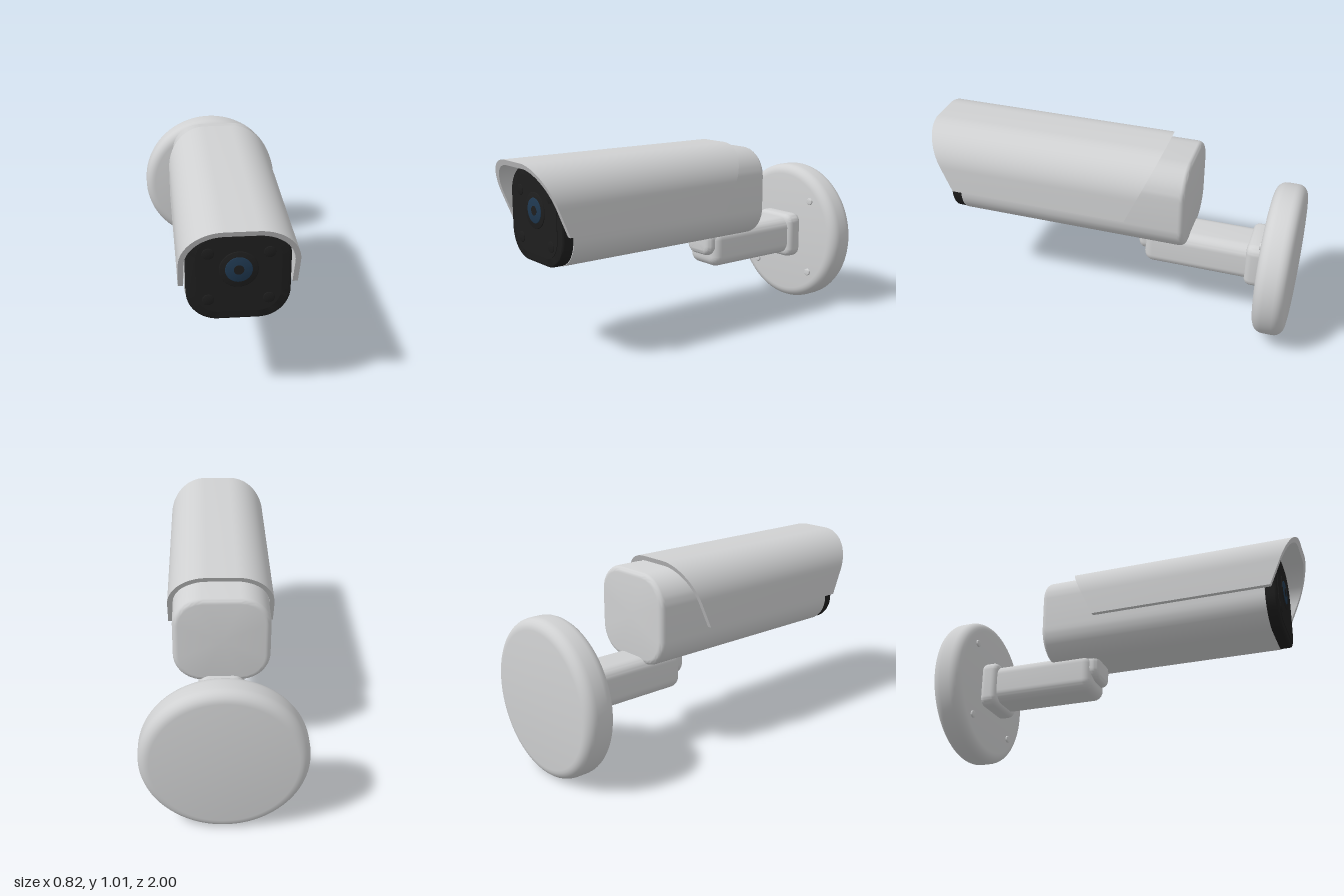
import * as THREE from 'three';
import { toCreasedNormals } from 'three/addons/utils/BufferGeometryUtils.js';

const mat = (name, color, side = THREE.FrontSide) => {
  const m = new THREE.MeshStandardMaterial({ color, side });
  m.name = name;
  return m;
};

// Counter-clockwise outline of a rounded rectangle centred on the origin
function roundedRect(w, h, r, n = 12) {
  const pts = [];
  const corners = [[1, 1], [-1, 1], [-1, -1], [1, -1]];
  corners.forEach(([sx, sy], c) => {
    for (let i = 0; i <= n; i++) {
      const a = (c + i / n) * Math.PI / 2;
      pts.push([sx * (w / 2 - r) + r * Math.cos(a), sy * (h / 2 - r) + r * Math.sin(a)]);
    }
  });
  return pts;
}

// [inset, z] steps from back to front with rounded rims
function rimProfile(z0, z1, rBack, rFront, n = 6) {
  const steps = [];
  const q = Math.PI / 2;
  if (rBack) for (let i = 0; i <= n; i++)
    steps.push([rBack * (1 - Math.sin(q * i / n)), z0 + rBack * (1 - Math.cos(q * i / n))]);
  else steps.push([0, z0]);
  if (rFront) for (let i = 0; i <= n; i++)
    steps.push([rFront * (1 - Math.cos(q * i / n)), z1 - rFront * (1 - Math.sin(q * i / n))]);
  else steps.push([0, z1]);
  return steps;
}

// Rounded block along z, lofted through inset outlines and capped at both ends
function block(w, h, r, z0, z1, rBack, rFront) {
  const pos = [], idx = [];
  const steps = rimProfile(z0, z1, rBack, rFront);
  let count = 0;
  steps.forEach(([inset, z]) => {
    const ring = roundedRect(w - 2 * inset, h - 2 * inset, r - inset);
    count = ring.length;
    ring.forEach(([x, y]) => pos.push(x, y, z));
  });
  const back = steps.length * count, front = back + 1, last = (steps.length - 1) * count;
  pos.push(0, 0, z0, 0, 0, z1);
  for (let i = 0; i < count; i++) {
    const j = (i + 1) % count;
    for (let s = 0; s < steps.length - 1; s++) {
      const a = s * count, b = a + count;
      idx.push(a + i, a + j, b + j, a + i, b + j, b + i);
    }
    idx.push(back, j, i, front, last + i, last + j);
  }
  const g = new THREE.BufferGeometry();
  g.setAttribute('position', new THREE.Float32BufferAttribute(pos, 3));
  g.setIndex(idx);
  return toCreasedNormals(g, 0.6);
}

// Round part along z with rounded rims
function disc(r, z0, z1, rBack, rFront, seg = 32) {
  const pts = rimProfile(z0, z1, rBack, rFront).map(([i, z]) => new THREE.Vector2(r - i, z));
  pts.unshift(new THREE.Vector2(0, z0));
  pts.push(new THREE.Vector2(0, z1));
  return toCreasedNormals(new THREE.LatheGeometry(pts, seg).rotateX(Math.PI / 2), 0.6);
}

// Arched hood with slanted front and back edges
function hood() {
  const arch = (half, top, r, reverse) => {
    const pts = [[half, 0.665]];
    for (let i = 0; i <= 32; i++) {
      const a = Math.PI * i / 32, c = Math.cos(a);
      if (i === 16) pts.push([half - r, top], [r - half, top]);
      else pts.push([(i < 16 ? 1 : -1) * (half - r) + r * c, top - r + r * Math.sin(a)]);
    }
    pts.push([-half, 0.665]);
    return reverse ? pts.reverse() : pts;
  };
  const outline = [...arch(0.28, 1.01, 0.205, false), ...arch(0.255, 0.982, 0.18, true)];
  const shape = new THREE.Shape(outline.map(([x, y]) => new THREE.Vector2(x, y)));
  const g = new THREE.ExtrudeGeometry(shape, { depth: 1, bevelEnabled: false });
  const p = g.attributes.position;
  for (let i = 0; i < p.count; i++) {
    const f = (1.01 - p.getY(i)) / 0.345;
    p.setZ(i, p.getZ(i) > 0.5 ? 1 - 0.145 * f : -0.276 + 0.156 * f);
  }
  return toCreasedNormals(g, 0.5);
}

export function createModel() {
  const model = new THREE.Group();
  model.name = 'wallCamera';
  const shell = mat('lightGrey', 0xd0d1d2);
  const hoodGrey = mat('hoodGrey', 0xd0d1d2, THREE.DoubleSide);
  const black = mat('black', 0x1e1e1e);
  const blue = mat('lensBlue', 0x1f3850);

  const add = (name, geometry, material, x, y) => {
    const m = new THREE.Mesh(geometry, material);
    m.name = name;
    m.position.set(x, y, 0);
    model.add(m);
  };

  // Wall mount
  add('wallPlate', disc(0.41, -1, -0.835, 0.055, 0.055, 96), shell, 0, 0.41);
  for (const x of [-0.215, 0.215])
    for (const y of [0.195, 0.625])
      add('screw', disc(0.02, -0.85, -0.824, 0, 0.004, 20), shell, x, y);
  add('armCollar', block(0.28, 0.26, 0.05, -0.845, -0.745, 0.03, 0.035), shell, 0, 0.41);
  add('arm', block(0.24, 0.216, 0.06, -0.84, -0.185, 0, 0.05), shell, 0, 0.412);
  add('armKnuckle', block(0.204, 0.155, 0.06, -0.3, -0.15, 0, 0.035), shell, 0, 0.4465);

  // Camera housing and hood
  add('housing', block(0.5, 0.49, 0.155, -0.43, 0.82, 0.03, 0), shell, 0, 0.73);
  add('hood', hood(), hoodGrey, 0, 0);

  // Front face
  add('facePlate', block(0.49, 0.478, 0.15, 0.815, 0.88, 0, 0.012), black, 0, 0.727);
  add('facePanel', block(0.4, 0.394, 0.11, 0.87, 0.883, 0, 0), black, 0, 0.728);
  for (const x of [-0.142, 0.142])
    for (const y of [0.6, 0.842])
      add('infraredLamp', disc(0.028, 0.87, 0.886, 0, 0.002, 28), black, x, y);

  // Lens
  add('lensRing', disc(0.092, 0.87, 0.887, 0, 0.003, 48), black, 0, 0.757);
  add('lensGlass', disc(0.064, 0.88, 0.89, 0, 0.002, 40), blue, 0, 0.757);
  add('lensPupil', disc(0.024, 0.885, 0.892, 0, 0, 28), black, 0, 0.757);
  return model;
}
